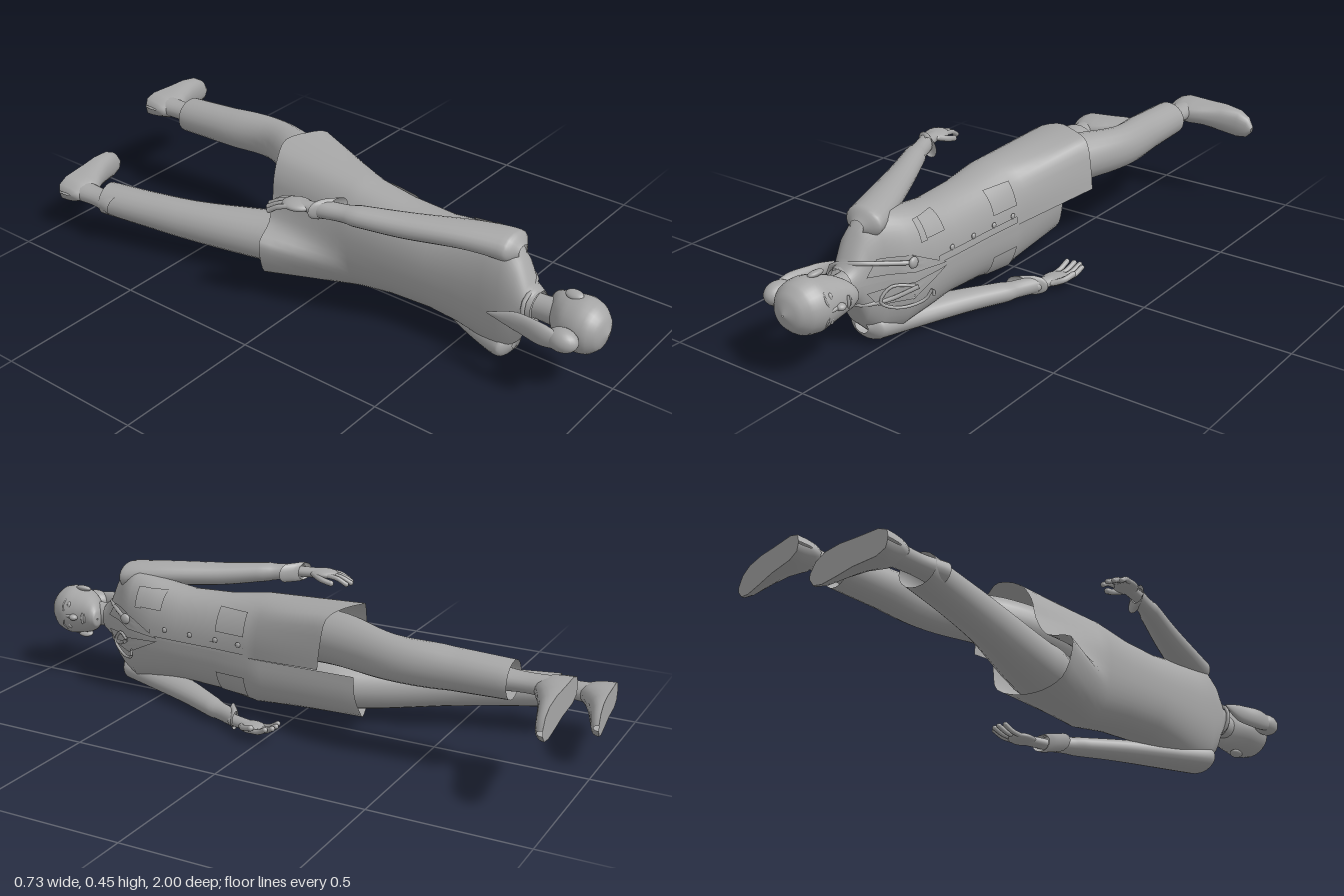
import * as THREE from 'three';

const V = (x, y, z) => new THREE.Vector3(x, y, z);
const grey = new THREE.MeshStandardMaterial({ color: 0xa6a6a6, side: THREE.DoubleSide });
grey.name = 'plain grey';

// Skin a list of point rows; closed rows wrap round without a seam
function skin(rows, closed) {
  const n = rows[0].length, pos = [], idx = [];
  rows.forEach(r => r.forEach(p => pos.push(p.x, p.y, p.z)));
  for (let j = 0; j < rows.length - 1; j++) {
    for (let i = 0; i < (closed ? n : n - 1); i++) {
      const k = (i + 1) % n, a = j * n + i, b = j * n + k;
      idx.push(a, a + n, b, b, a + n, b + n);
    }
  }
  const g = new THREE.BufferGeometry();
  g.setAttribute('position', new THREE.Float32BufferAttribute(pos, 3));
  g.setIndex(idx);
  g.computeVertexNormals();
  return g;
}

// Smooth limb through sections [x, y, z, radiusX, radiusY, tilt]
function limb(keys, steps = 6, sides = 20) {
  const path = new THREE.CatmullRomCurve3(keys.map(k => V(k[0], k[1], k[2])));
  const size = new THREE.CatmullRomCurve3(keys.map(k => V(k[3], k[4], k[5] || 0)));
  const rows = [], n = steps * (keys.length - 1);
  for (let j = 0; j <= n; j++) {
    const c = path.getPoint(j / n), s = size.getPoint(j / n), row = [];
    for (let i = 0; i < sides; i++) {
      const a = i / sides * Math.PI * 2, dx = s.x * Math.cos(a);
      row.push(V(c.x + dx, c.y + s.y * Math.sin(a), c.z + s.z * dx));
    }
    rows.push(row);
  }
  return skin(rows, true);
}

// Coat sections [z, centre x, half depth, half width]
const YC = 0.225, POW = 0.88;
const COAT = [[0.765, -0.055, 0.045, 0.048], [0.735, -0.058, 0.055, 0.075], [0.705, -0.057, 0.066, 0.145],
  [0.66, -0.05, 0.08, 0.19], [0.6, -0.027, 0.102, 0.192], [0.5, -0.02, 0.108, 0.172], [0.4, -0.02, 0.113, 0.158],
  [0.25, -0.02, 0.116, 0.165], [0.12, -0.02, 0.124, 0.185]];
const soft = v => Math.sign(v) * Math.abs(v) ** POW;

function coatX(y, z) {
  let i = 0;
  while (i < COAT.length - 2 && z < COAT[i + 1][0]) i++;
  const a = COAT[i], b = COAT[i + 1], t = (a[0] - z) / (a[0] - b[0]);
  const [, xc, hd, hw] = a.map((v, k) => v + (b[k] - v) * t);
  const s = Math.min(1, (Math.abs(y - YC) / hw) ** (1 / POW));
  return xc + hd * Math.sqrt(1 - s * s) ** POW;
}

// Cloth patch draped on the coat front; four corners given as [y, z]
function patch(c, lift = 0.006, n = 8) {
  const rows = [], mix = (a, b, t) => a + (b - a) * t;
  for (let j = 0; j <= n; j++) {
    const row = [];
    for (let i = 0; i <= n; i++) {
      const [y, z] = [0, 1].map(k => mix(mix(c[0][k], c[1][k], i / n), mix(c[3][k], c[2][k], i / n), j / n));
      row.push(V(coatX(y, z) + lift, y, z));
    }
    rows.push(row);
  }
  return skin(rows, false);
}

function coatGeometry() {
  const N = 48, rows = [];
  const ring = ([z, xc, hd, hw]) => Array.from({ length: N + 1 }, (_, i) => {
    const a = i / N * Math.PI * 2;
    return V(xc + hd * soft(Math.cos(a)), YC + hw * soft(Math.sin(a)), z);
  });
  COAT.forEach(k => rows.push(ring(k)));
  // Open hem: one flap follows each leg
  const hem = new THREE.CatmullRomCurve3([[0.185, 0.265], [0.175, 0.34], [0.15, 0.42], [0.08, 0.438], [0, 0.435],
    [-0.07, 0.41], [-0.11, 0.35], [-0.125, 0.28], [-0.16, 0.215], [-0.24, 0.19], [-0.24, 0.13], [-0.21, 0.06],
    [-0.15, 0.03], [-0.07, 0.03], [0, 0.06], [0.03, 0.13], [0.035, 0.2]]
    .map(([x, y]) => V(x, y, -0.245 + 0.35 * Math.abs(x))));
  const waist = rows[rows.length - 1];
  for (let j = 1; j <= 8; j++) rows.push(waist.map((p, i) => p.clone().lerp(hem.getPoint(i / N), j / 8)));
  return skin(rows, false);
}

// Shoe with a flat sole, toe towards +x
function shoeGeometry() {
  const keys = [[0, 0.004, 0.05, 0], [0.006, 0.028, 0.085, 0], [0.04, 0.042, 0.105, 0], [0.085, 0.043, 0.103, 0],
    [0.13, 0.044, 0.078, 0], [0.19, 0.05, 0.055, -0.003], [0.25, 0.05, 0.038, -0.01], [0.285, 0.037, 0.028, -0.016],
    [0.304, 0.008, 0.016, -0.02]];
  return skin(keys.map(([x, w, h, yc]) => Array.from({ length: 24 }, (_, i) => {
    const a = i / 24 * Math.PI * 2, s = Math.sin(a);
    return V(x, yc + w * soft(Math.cos(a)), s > 0 ? h * s ** 0.8 : 0);
  })), true);
}

export function createModel() {
  const model = new THREE.Group();
  const add = (name, geo, parent = model) => {
    const m = new THREE.Mesh(geo, grey);
    m.name = name;
    parent.add(m);
    return m;
  };
  const ball = (name, p, s, parent) => {
    const m = add(name, new THREE.SphereGeometry(1, 20, 14), parent);
    m.position.set(...p);
    m.scale.set(...s);
    return m;
  };
  const tube = (name, pts, r, parent) =>
    add(name, new THREE.TubeGeometry(new THREE.CatmullRomCurve3(pts.map(p => V(...p))), 24, r, 8), parent);

  // Head and face, looking along +x
  add('neck', limb([[-0.055, YC, 0.7, 0.045, 0.048], [-0.053, YC, 0.76, 0.036, 0.04], [-0.05, YC, 0.83, 0.04, 0.044]]));
  add('head', limb([[0.008, YC, 0.776, 0.003, 0.003], [0.002, YC, 0.78, 0.024, 0.026], [-0.014, YC, 0.797, 0.044, 0.046],
    [-0.034, YC, 0.825, 0.063, 0.063], [-0.05, YC, 0.865, 0.08, 0.077], [-0.054, YC, 0.91, 0.086, 0.085],
    [-0.058, YC, 0.95, 0.077, 0.077], [-0.06, YC, 0.98, 0.05, 0.05], [-0.06, YC, 0.997, 0.002, 0.002]], 4, 28));
  ball('nose', [0.031, YC, 0.862], [0.016, 0.011, 0.016]);
  ball('noseBridge', [0.027, YC, 0.88], [0.008, 0.007, 0.024]);
  ball('upperLip', [0.028, YC, 0.827], [0.006, 0.021, 0.005]);
  ball('lowerLip', [0.026, YC, 0.819], [0.006, 0.017, 0.005]);
  for (const s of [1, -1]) {
    ball('eye', [0.017, YC + s * 0.034, 0.888], [0.008, 0.015, 0.008]);
    tube('eyebrow', [[0.029, YC + s * 0.016, 0.905], [0.025, YC + s * 0.033, 0.911], [0.009, YC + s * 0.055, 0.905]], 0.003);
    ball('ear', [-0.05, YC + s * 0.083, 0.872], [0.018, 0.01, 0.029]).rotation.z = s * 0.4;
  }
  // Hair bun and hanging tail
  ball('hairBun', [-0.165, 0.228, 0.905], [0.037, 0.036, 0.05]);
  add('ponytail', limb([[-0.18, 0.228, 0.92, 0.012, 0.02], [-0.178, 0.228, 0.84, 0.02, 0.036],
    [-0.167, 0.228, 0.75, 0.016, 0.03], [-0.178, 0.228, 0.662, 0.002, 0.003]]));

  // Coat with collar, lapels, pockets and buttons
  add('coat', coatGeometry());
  add('collar', limb([[-0.06, YC, 0.72, 0.058, 0.075], [-0.06, YC, 0.75, 0.053, 0.057], [-0.062, YC, 0.765, 0.05, 0.052]], 3));
  for (const s of [1, -1]) {
    add('lapel', patch([[YC + s * 0.025, 0.725], [YC + s * 0.075, 0.69], [YC + s * 0.07, 0.6], [YC + s * 0.005, 0.47]]));
    add('hipPocket', patch([[YC + s * 0.07, 0.24], [YC + s * 0.145, 0.24], [YC + s * 0.145, 0.13], [YC + s * 0.07, 0.13]], 0.008));
  }
  add('chestPocket', patch([[0.325, 0.56], [0.385, 0.56], [0.385, 0.46], [0.325, 0.46]], 0.008));
  add('pocketFlap', patch([[0.322, 0.565], [0.387, 0.565], [0.387, 0.54], [0.322, 0.54]], 0.012));
  add('placket', patch([[0.235, 0.5], [0.258, 0.5], [0.258, 0.13], [0.235, 0.13]], 0.004));
  for (const z of [0.44, 0.34, 0.24, 0.15]) ball('button', [coatX(0.265, z) + 0.004, 0.265, z], [0.005, 0.009, 0.009]);

  // Listening tube worn round the neck
  const drape = (y, z, d = 0.008) => [coatX(y, z) + d, y, z];
  tube('neckTube', [drape(0.2, 0.6, 0.02), drape(0.165, 0.67), [-0.03, 0.16, 0.735], [-0.11, 0.19, 0.745], [-0.115, 0.26, 0.745],
    [-0.03, 0.29, 0.735], drape(0.285, 0.68), drape(0.275, 0.61, 0.012)], 0.007);
  ball('chestPiece', drape(0.275, 0.605, 0.012), [0.01, 0.018, 0.018]);
  tube('earpieceLoop', [drape(0.2, 0.6), drape(0.205, 0.66), drape(0.165, 0.69, 0.012), drape(0.135, 0.64, 0.015),
    drape(0.15, 0.575, 0.025), [0.115, 0.185, 0.56], [0.118, 0.163, 0.56]], 0.005);

  // Arms: sleeve, cuff and hand
  const arms = [
    { keys: [[-0.05, 0.385, 0.695, 0.025, 0.02], [-0.05, 0.392, 0.66, 0.068, 0.046], [-0.085, 0.402, 0.55, 0.064, 0.041],
      [-0.165, 0.405, 0.36, 0.05, 0.038], [-0.225, 0.415, 0.22, 0.04, 0.032], [-0.262, 0.42, 0.12, 0.032, 0.028, 0.3]],
      hand: [-0.285, 0.42, 0.04], turn: -0.24, curl: -1, thumb: 1 },
    { keys: [[-0.05, 0.065, 0.695, 0.025, 0.02], [-0.05, 0.058, 0.66, 0.068, 0.046], [-0.015, 0.05, 0.55, 0.064, 0.041],
      [0.065, 0.046, 0.36, 0.05, 0.036], [0.125, 0.04, 0.23, 0.04, 0.032], [0.165, 0.036, 0.13, 0.032, 0.028, -0.3]],
      hand: [0.195, 0.034, 0.045], turn: 0.24, curl: 1, thumb: 1 }];
  for (const { keys, hand, turn, curl, thumb } of arms) {
    add('sleeve', limb(keys));
    const [x, y, z] = keys[5], tilt = -turn;
    add('cuff', limb([[x - turn * 0.15, y, z + 0.03, 0.037, 0.032, tilt], [x, y, z, 0.038, 0.033, tilt],
      [x + turn * 0.06, y, z - 0.012, 0.033, 0.029, tilt]], 3));
    const g = new THREE.Group();
    g.name = 'hand';
    g.position.set(...hand);
    g.rotation.y = -turn;
    model.add(g);
    add('wrist', limb([[0, 0, 0.09, 0.022, 0.018], [0, 0, 0.04, 0.022, 0.017], [0, 0, 0, 0.03, 0.015]], 3), g);
    ball('palm', [0, 0, 0], [0.039, 0.016, 0.05], g);
    [-0.027, -0.009, 0.009, 0.027].forEach((fx, i) => {
      const len = [0.08, 0.092, 0.096, 0.085][i];
      tube('finger', [[fx, 0, -0.02], [fx * 1.15, curl * 0.007, -len * 0.65], [fx * 1.2, curl * 0.024, -len]], 0.0085, g);
      ball('fingertip', [fx * 1.2, curl * 0.024, -len], [0.0085, 0.0085, 0.0085], g);
    });
    tube('thumb', [[thumb * 0.02, 0, 0.03], [thumb * 0.042, curl * 0.01, 0], [thumb * 0.046, curl * 0.02, -0.035]], 0.01, g);
    ball('thumbTip', [thumb * 0.046, curl * 0.02, -0.035], [0.01, 0.01, 0.01], g);
  }

  // Legs: trousers, ankle and shoe
  const legs = [
    { keys: [[0, 0.31, 0.02, 0.085, 0.09], [0.062, 0.33, -0.2, 0.083, 0.083, 0.3], [0.137, 0.33, -0.41, 0.062, 0.072, 0.1],
      [0.125, 0.325, -0.6, 0.065, 0.066], [0.115, 0.32, -0.787, 0.064, 0.06]],
      ankle: [0.117, 0.32], shoe: [0.064, 0.32, -0.962], roll: 0, yaw: -0.07 },
    { keys: [[-0.03, 0.135, 0.02, 0.085, 0.085], [-0.1, 0.13, -0.2, 0.093, 0.083, -0.25], [-0.205, 0.138, -0.48, 0.066, 0.068, -0.25],
      [-0.25, 0.145, -0.64, 0.062, 0.06, -0.25], [-0.29, 0.152, -0.805, 0.062, 0.053, -0.25]],
      ankle: [-0.31, 0.153], shoe: [-0.367, 0.153, -0.968], roll: 0.1, yaw: 0.03 }];
  for (const { keys, ankle: [x, y], shoe, roll, yaw } of legs) {
    add('trouserLeg', limb(keys));
    add('ankle', limb([[x, y, -0.74, 0.047, 0.036], [x, y, -0.83, 0.038, 0.03], [x, y, -0.9, 0.043, 0.032]], 4));
    const m = add('shoe', shoeGeometry());
    m.position.set(...shoe);
    m.rotation.set(0, roll, yaw);
  }
  return model;
}
